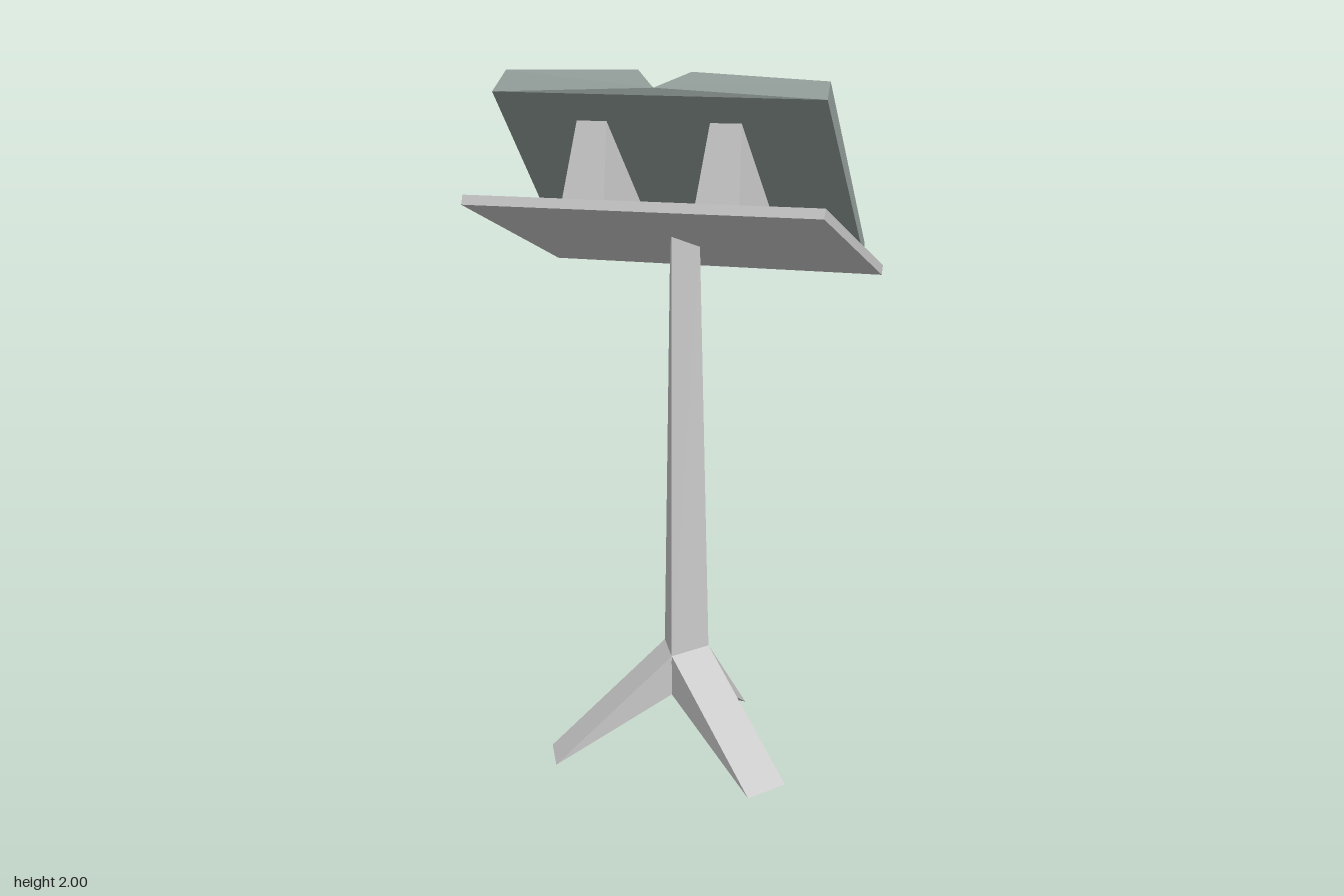
import * as THREE from 'three';

const grey = new THREE.MeshStandardMaterial({ color: 0xcccccc, flatShading: true });
const bookMaterial = new THREE.MeshStandardMaterial({ color: 0x919c98, flatShading: true });

// Closed solid between two matching rings, counter-clockwise when seen from ring b
function loft(name, a, b, material = grey) {
  const n = a.length;
  const corners = [];
  for (let i = 0; i < n; i++) {
    const j = (i + 1) % n;
    corners.push(a[i], a[j], b[j], a[i], b[j], b[i]);
  }
  for (let i = 1; i < n - 1; i++) {
    corners.push(b[0], b[i], b[i + 1], a[0], a[i + 1], a[i]);
  }
  const geometry = new THREE.BufferGeometry();
  geometry.setAttribute('position', new THREE.Float32BufferAttribute(corners.flat(), 3));
  geometry.computeVertexNormals();
  const mesh = new THREE.Mesh(geometry, material);
  mesh.name = name;
  return mesh;
}

// Three-sided ring: two back corners and one front corner
const triangle = (halfWidth, back, front, yBack, yFront = yBack) => [
  [halfWidth, yBack, back], [-halfWidth, yBack, back], [0, yFront, front],
];

function createBase() {
  const base = new THREE.Group();
  base.name = 'base';
  base.add(
    loft('hub', triangle(0.07, -0.015, 0.106, 0.2), triangle(0.07, -0.015, 0.106, 0.32)),
    loft('post', triangle(0.07, -0.015, 0.106, 0.32), triangle(0.045, -0.002, 0.103, 1.52, 1.555)),
  );
  // One wedge leg on each side of the hub
  const legSide = (x) => [[x, 0.32, -0.04], [x, 0, -0.385], [x, 0.2, -0.04]];
  for (let i = 0; i < 3; i++) {
    const leg = loft('leg', legSide(0.07), legSide(-0.07));
    leg.position.z = 0.025;
    leg.rotation.y = (i * Math.PI * 2) / 3;
    base.add(leg);
  }
  return base;
}

function createBoard() {
  const board = new THREE.Mesh(new THREE.BoxGeometry(1.02, 0.028, 0.64), grey);
  board.name = 'board';
  board.position.set(0, 1.547, 0.054);
  board.rotation.x = -THREE.MathUtils.degToRad(20);
  return board;
}

// Tapered wedge propping the book up
function createSupport(x) {
  const side = (s) => [
    [x + s * 0.044, 1.865, 0.2],
    [x + s * 0.063, 1.64, 0.27],
    [x + s * 0.063, 1.498, -0.12],
  ];
  return loft('bookSupport', side(-1), side(1));
}

// Open book: centre fold, left pages, cover corners, right pages
function createBook() {
  const lowerEnd = [
    [0, 1.492, -0.175], [-0.075, 1.543, -0.222], [-0.468, 1.542, -0.22],
    [-0.478, 1.485, -0.18], [0.477, 1.475, -0.168], [0.468, 1.52, -0.199], [0.08, 1.542, -0.222],
  ];
  const upperEnd = [
    [0, 1.955, 0.23], [-0.075, 2, 0.153], [-0.468, 1.997, 0.157],
    [-0.478, 1.94, 0.224], [0.477, 1.93, 0.237], [0.468, 1.974, 0.181], [0.08, 1.995, 0.156],
  ];
  return loft('openBook', lowerEnd, upperEnd, bookMaterial);
}

export function createModel() {
  const model = new THREE.Group();
  model.name = 'bookStand';
  model.add(createBase(), createBoard(), createSupport(-0.192), createSupport(0.192), createBook());
  return model;
}
